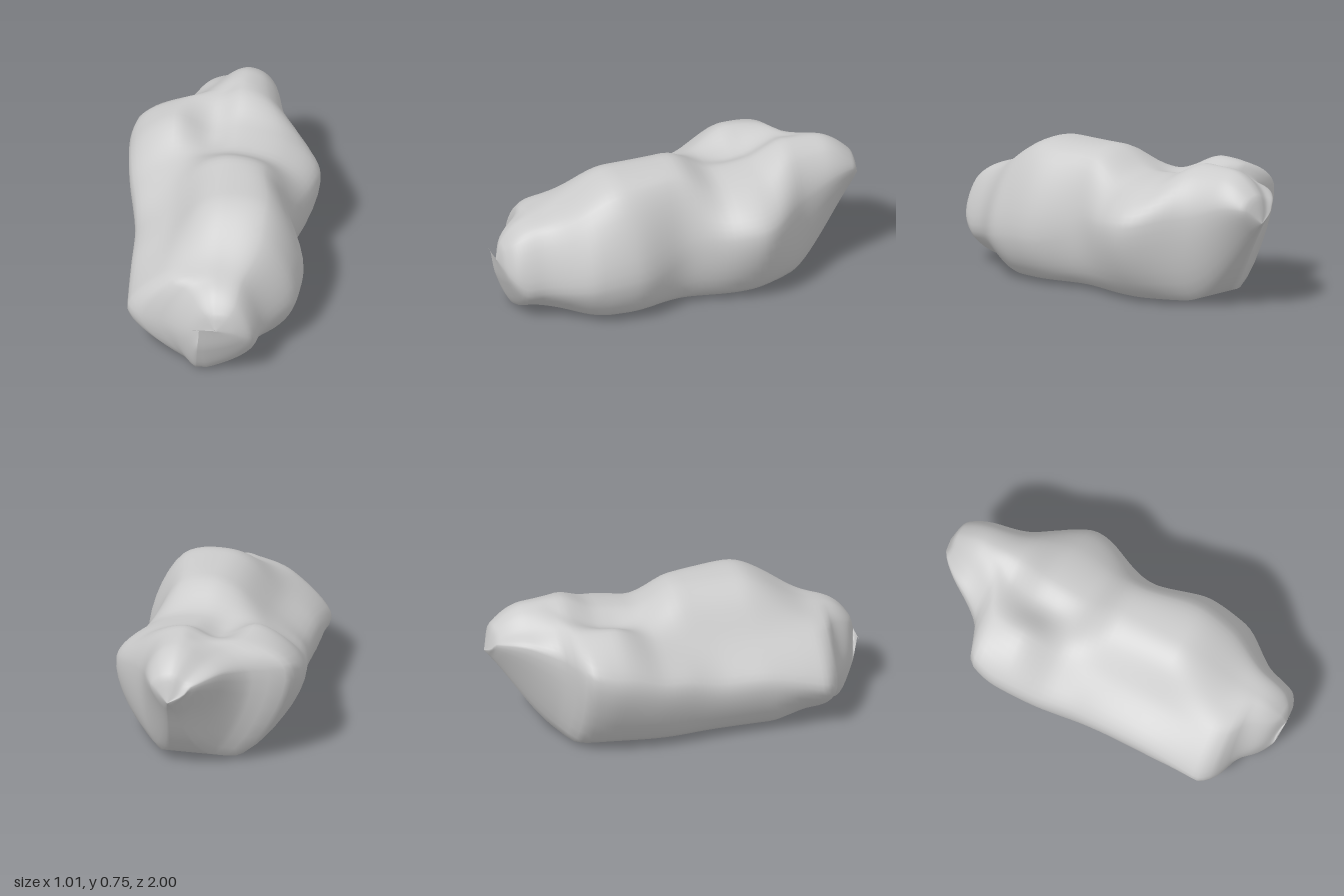
import * as THREE from 'three';

const { lerp, smoothstep } = THREE.MathUtils;
const RINGS = 80;
const PER_SPAN = 7; // ring points between two outline points
const RIDGE_X = 0.08;

// Smooth curve through [z, value] points that never overshoots them
function profile(points) {
  const secant = (i) => (points[i + 1][1] - points[i][1]) / (points[i + 1][0] - points[i][0]);
  const last = points.length - 1;
  const slopes = points.map((_, i) => {
    if (i === 0) return secant(0);
    if (i === last) return secant(last - 1);
    const a = secant(i - 1), b = secant(i);
    return a * b > 0 ? (2 * a * b) / (a + b) : 0;
  });
  return (z) => {
    let i = 0;
    while (i < last - 1 && z > points[i + 1][0]) i++;
    const [z0, v0] = points[i], [z1, v1] = points[i + 1];
    const d = z1 - z0, t = (z - z0) / d;
    const ease = t * t * (3 - 2 * t);
    return lerp(v0, v1, ease)
      + d * t * (1 - t) * ((1 - t) * slopes[i] - t * slopes[i + 1]);
  };
}

// Lengthwise profiles, from the back tip to the nose
const ridge = profile([[-1, 0.48], [-0.96, 0.62], [-0.78, 0.73], [-0.6, 0.74], [-0.4, 0.66],
  [-0.2, 0.64], [0.04, 0.745], [0.36, 0.745], [0.72, 0.56], [0.87, 0.51], [0.98, 0.4], [1, 0.32]]);
const base = profile([[-1, 0.48], [-0.58, 0.025], [0.6, 0.025], [0.87, 0], [0.97, 0.18], [1, 0.32]]);
const leftSide = profile([[-1, RIDGE_X], [-0.98, -0.01], [-0.9, -0.11], [-0.66, -0.28], [-0.57, -0.48],
  [-0.43, -0.51], [0.2, -0.42], [0.72, -0.41], [0.8, -0.34], [0.84, -0.2], [0.95, -0.05], [1, RIDGE_X]]);
const rightSide = profile([[-1, RIDGE_X], [-0.95, 0.18], [-0.65, 0.3], [-0.34, 0.5], [0.04, 0.39],
  [0.35, 0.48], [0.55, 0.46], [0.8, 0.3], [0.93, 0.26], [0.985, 0.18], [1, RIDGE_X]]);
const leftShoulder = profile([[-1, 0.48], [-0.95, 0.59], [-0.8, 0.65], [-0.4, 0.69], [-0.15, 0.58],
  [0.15, 0.54], [0.8, 0.47], [0.97, 0.39], [1, 0.32]]);

// One closed slice, running from the base over the left side and ridge
function ring(z) {
  const low = base(z), high = ridge(z), left = leftSide(z), right = rightSide(z);
  const shoulder = leftShoulder(z);
  const leftY = lerp(low, high, lerp(0.72, 0.43, smoothstep(z, -0.4, 0.2)));
  const rightY = lerp(low, high, lerp(0.63, 0.34, smoothstep(z, -0.3, 0.3)));

  // the floor narrows towards both tips
  const floorX = RIDGE_X - 0.1 * smoothstep(z, 0.5, 0.87);
  const floorWidth = 0.15 + 0.4 * smoothstep(z, -1, -0.5)
    + 0.13 * smoothstep(z, -0.5, 0) - 0.53 * smoothstep(z, 0.45, 0.9);

  // a dip separates the rear knob from the ridge
  const dip = 0.05 * smoothstep(z, -0.75, -0.5) * (1 - smoothstep(z, -0.35, -0.1));
  const rightFull = lerp(0.76, 0.9, smoothstep(z, -0.2, 0.15));

  const outline = [
    [lerp(floorX, left, floorWidth), low],
    [left, leftY],
    [lerp(left, RIDGE_X, 0.4), shoulder],
    [lerp(left, RIDGE_X, 0.74), lerp(shoulder, high, 0.8) - dip],
    [RIDGE_X, high],
    [lerp(right, RIDGE_X, 0.42), lerp(rightY, high, rightFull)],
    [right, rightY],
    [lerp(floorX, right, floorWidth), low],
  ].map(([x, y]) => new THREE.Vector3(x, y, z));
  const points = new THREE.CatmullRomCurve3(outline, true, 'centripetal')
    .getPoints(outline.length * PER_SPAN).slice(0, -1);
  points.forEach((p) => { p.y = Math.max(p.y, low); });
  return points;
}

// Rings crowd towards both tips, where they close to a point
function rockGeometry() {
  const rings = Array.from({ length: RINGS + 1 }, (_, i) => ring(-Math.cos((Math.PI * i) / RINGS)));
  const count = rings[0].length;
  const index = [];
  for (let i = 0; i < RINGS; i++) {
    for (let j = 0; j < count; j++) {
      const a = i * count + j, b = i * count + ((j + 1) % count);
      index.push(a, a + count, b, b, a + count, b + count);
    }
  }
  const geometry = new THREE.BufferGeometry().setFromPoints(rings.flat());
  geometry.setIndex(index);
  geometry.computeVertexNormals();
  return geometry;
}

export function createModel() {
  const group = new THREE.Group();
  group.name = 'boulder';
  const rock = new THREE.Mesh(rockGeometry(), new THREE.MeshStandardMaterial({ color: 0xcccccc }));
  rock.name = 'rock';
  group.add(rock);
  return group;
}
